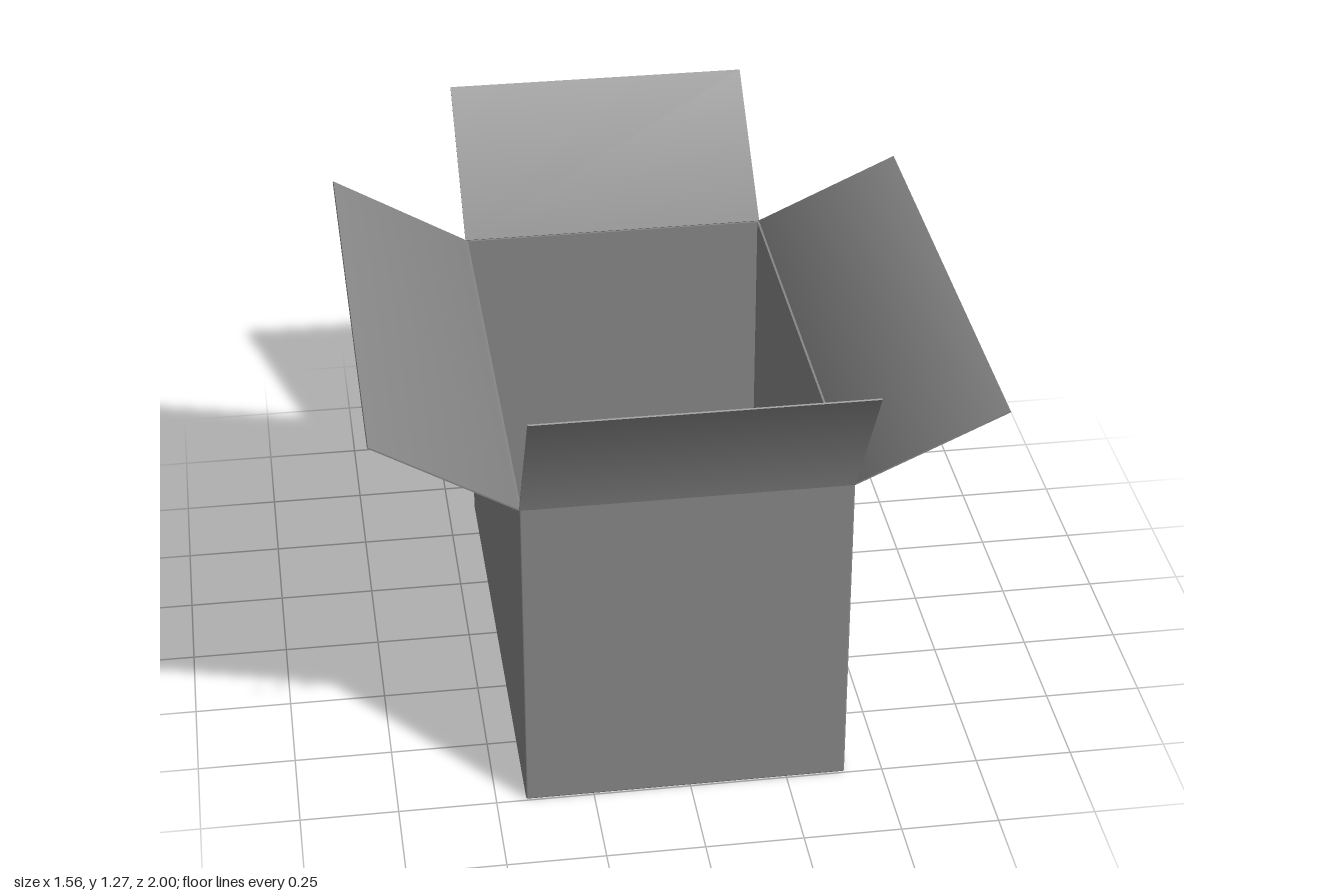
import * as THREE from 'three';
import { RoundedBoxGeometry } from 'three/addons/geometries/RoundedBoxGeometry.js';

const X0 = -0.424, X1 = 0.402, Z0 = -0.64, Z1 = 0.747; // footprint
const RIM = 0.88, WALL = 0.006, ROUND = 0.005, CARD = 0.004;
const CX = (X0 + X1) / 2, CZ = (Z0 + Z1) / 2, W = X1 - X0, D = Z1 - Z0;

const material = new THREE.MeshStandardMaterial({ color: 0x878787 });

function part(name, geometry) {
  const mesh = new THREE.Mesh(geometry, material);
  mesh.name = name;
  return mesh;
}

// Rectangle with rounded corners, centred on the origin
function roundedRect(target, w, d, r) {
  const x = w / 2 - r, y = d / 2 - r;
  target.absarc(x, y, r, 0, Math.PI / 2);
  target.absarc(-x, y, r, Math.PI / 2, Math.PI);
  target.absarc(-x, -y, r, Math.PI, Math.PI * 1.5);
  target.absarc(x, -y, r, Math.PI * 1.5, Math.PI * 2);
  target.closePath();
  return target;
}

// Thin sheet from the middle of its hinge line to the middle of its free edge
function flap(name, hinge, tip, width) {
  const a = new THREE.Vector3(...hinge), b = new THREE.Vector3(...tip);
  const length = a.distanceTo(b);
  const geometry = new THREE.BoxGeometry(width, CARD, length);

  // At the hinge, turn the normals halfway towards the wall for a soft fold
  const { position, normal } = geometry.attributes;
  const rise = (b.y - a.y) / length, run = Math.sqrt(1 - rise * rise);
  for (let i = 0; i < position.count; i++) {
    const side = Math.round(normal.getY(i));
    if (side === 0 || position.getZ(i) > 0) continue;
    const n = new THREE.Vector3(0, side * (1 + rise), -side * run).normalize();
    normal.setXYZ(i, n.x, n.y, n.z);
  }

  const mesh = part(name, geometry);
  mesh.position.lerpVectors(a, b, 0.5);
  mesh.lookAt(b);
  return mesh;
}

export function createModel() {
  const box = new THREE.Group();
  box.name = 'openCardboardBox';

  // Four walls as one hollow upright tube
  const outline = roundedRect(new THREE.Shape(), W, D, ROUND);
  const inner = new THREE.Path();
  const iw = W / 2 - WALL, id = D / 2 - WALL;
  inner.moveTo(-iw, -id).lineTo(-iw, id).lineTo(iw, id).lineTo(iw, -id).closePath();
  outline.holes.push(inner);
  const wallGeometry = new THREE.ExtrudeGeometry(outline, {
    depth: RIM - ROUND, bevelEnabled: false, curveSegments: 4,
  });
  wallGeometry.rotateX(-Math.PI / 2).translate(CX, ROUND, CZ);
  box.add(part('walls', wallGeometry));

  // Floor with softened lower edges
  const floor = part('floor', new RoundedBoxGeometry(W, ROUND * 2, D, 3, ROUND));
  floor.position.set(CX, ROUND, CZ);
  box.add(floor);

  // Four open flaps, each at its own angle
  box.add(
    flap('frontFlap', [CX, RIM, Z1], [CX, 1.273, 1], W),
    flap('backFlap', [CX, RIM, Z0], [CX, 1.178, -1], W),
    flap('leftFlap', [X1, RIM, CZ], [0.78, 1.055, CZ], D),
    flap('rightFlap', [X0, RIM, CZ], [-0.78, 1.088, CZ], D),
  );
  return box;
}
